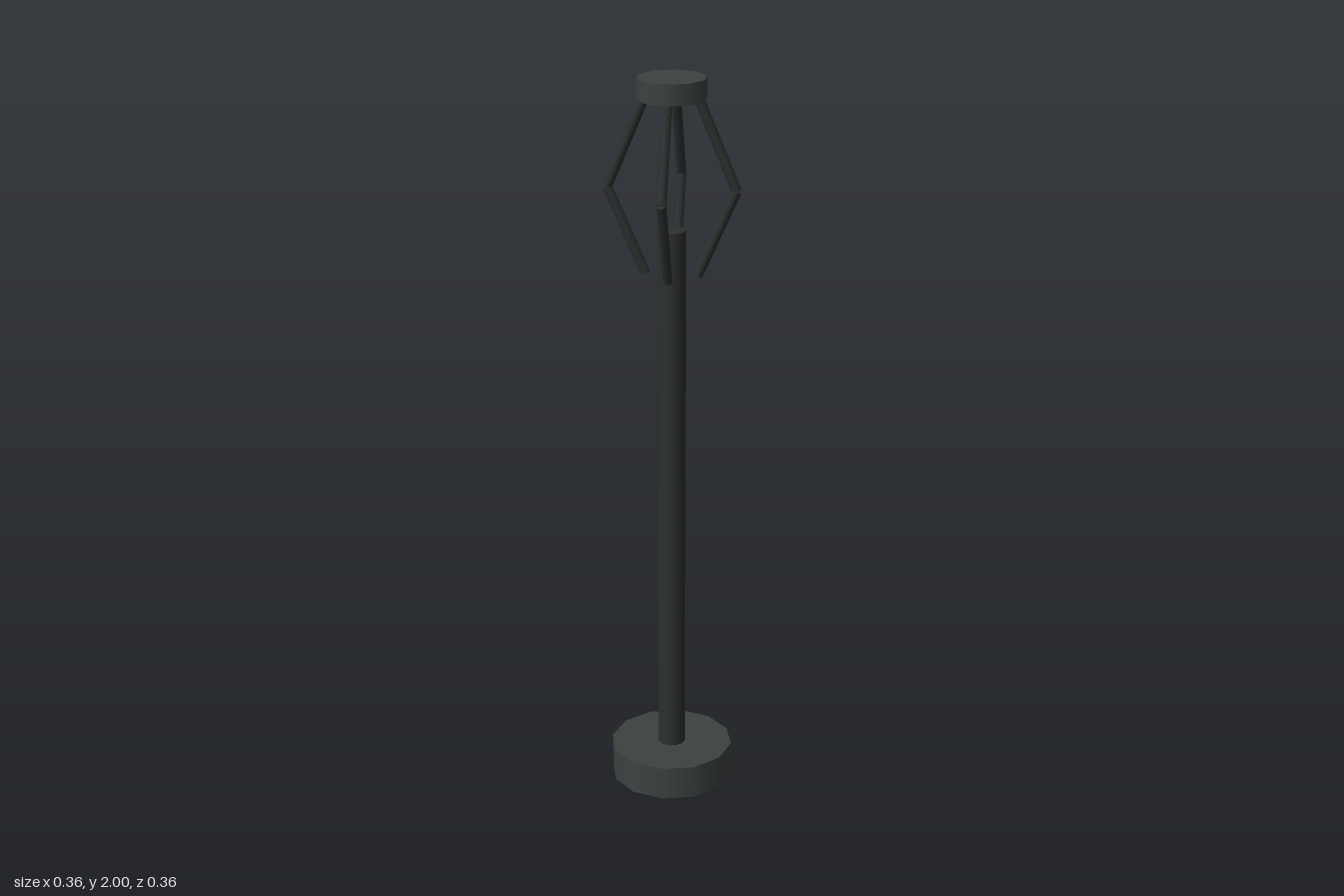
import * as THREE from 'three';

const capMaterial = new THREE.MeshStandardMaterial({ color: 0x3d4241 });
const poleMaterial = new THREE.MeshStandardMaterial({ color: 0x2c302f });

// Upright cylinder standing between two heights
function post(name, radius, bottom, top, sides, material) {
  const mesh = new THREE.Mesh(new THREE.CylinderGeometry(radius, radius, top - bottom, sides), material);
  mesh.name = name;
  mesh.position.y = (bottom + top) / 2;
  return mesh;
}

// Thin round bar from point a to point b
function bar(name, a, b, radius) {
  const dir = b.clone().sub(a);
  const mesh = new THREE.Mesh(new THREE.CylinderGeometry(radius, radius, dir.length(), 8), poleMaterial);
  mesh.name = name;
  mesh.position.copy(a).add(b).multiplyScalar(0.5);
  mesh.quaternion.setFromUnitVectors(new THREE.Vector3(0, 1, 0), dir.normalize());
  return mesh;
}

export function createModel() {
  const model = new THREE.Group();
  model.name = 'cagedPost';

  model.add(
    post('base', 0.17, 0, 0.095, 12, capMaterial),
    post('pole', 0.038, 0.09, 1.6, 12, poleMaterial),
    post('topCap', 0.092, 1.945, 2, 10, capMaterial)
  );

  // Four bent cage arms around the pole top
  const foot = new THREE.Vector3(0.069, 1.48, 0);
  const knee = new THREE.Vector3(0.169, 1.71, 0);
  const head = new THREE.Vector3(0.069, 1.95, 0);
  for (let i = 0; i < 4; i++) {
    const arm = new THREE.Group();
    arm.name = 'cageArm';
    arm.add(bar('lowerRod', foot, knee, 0.013), bar('upperRod', knee, head, 0.013));
    arm.rotation.y = (i * Math.PI) / 2;
    model.add(arm);
  }
  return model;
}
